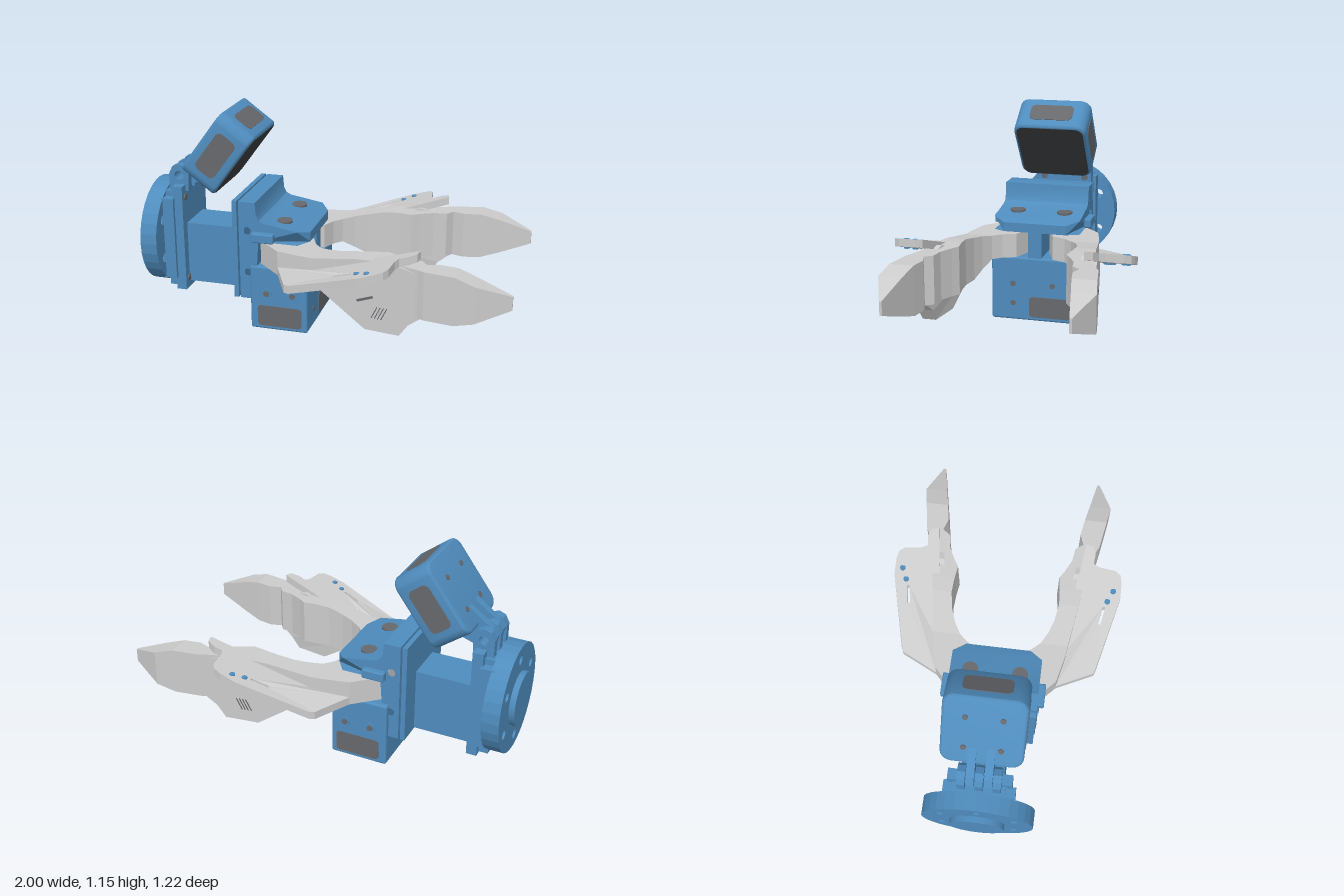
import * as THREE from 'three';
import { RoundedBoxGeometry } from 'three/addons/geometries/RoundedBoxGeometry.js';
import { toCreasedNormals } from 'three/addons/utils/BufferGeometryUtils.js';

const mat = (color, extra = {}) => new THREE.MeshStandardMaterial({ color, ...extra });
const blue = mat(0x4f8cbd), dark = mat(0x66686c), black = mat(0x3a3d40);
const grey = mat(0xcccccc, { flatShading: true });

function add(parent, name, geo, material) {
  const m = new THREE.Mesh(geo, material);
  m.name = name;
  parent.add(m);
  return m;
}

// Box given by its limits, optionally rounded
function box(parent, name, material, [x0, x1], [y0, y1], [z0, z1], r = 0) {
  const s = [x1 - x0, y1 - y0, z1 - z0];
  const geo = r ? new RoundedBoxGeometry(...s, 3, r) : new THREE.BoxGeometry(...s);
  geo.translate((x0 + x1) / 2, (y0 + y1) / 2, (z0 + z1) / 2);
  return add(parent, name, geo, material);
}

// Cylinder along a chosen axis
function rod(parent, name, material, r, len, axis, [x, y, z], sides = 32) {
  const geo = new THREE.CylinderGeometry(r, r, len, sides);
  if (axis === 'x') geo.rotateZ(Math.PI / 2);
  if (axis === 'z') geo.rotateX(Math.PI / 2);
  return add(parent, name, geo.translate(x, y, z), material);
}

const poly = pts => new THREE.Shape(pts.map(p => new THREE.Vector2(...p)));
const hole = (x, y, r) => new THREE.Path().absarc(x, y, r, 0, Math.PI * 2, true);

function extrude(shape, z0, z1, bevel = 0) {
  const geo = new THREE.ExtrudeGeometry(shape, {
    depth: z1 - z0 - 2 * bevel, bevelEnabled: bevel > 0, bevelSize: bevel, bevelOffset: -bevel,
    bevelThickness: bevel, bevelSegments: 3, curveSegments: 16,
  });
  return geo.translate(0, 0, z0 + bevel);
}

function roundedRect(w, h, r) {
  const s = new THREE.Shape(), a = w / 2 - r, b = h / 2 - r;
  s.absarc(a, b, r, 0, Math.PI / 2);
  s.absarc(-a, b, r, Math.PI / 2, Math.PI);
  s.absarc(-a, -b, r, Math.PI, Math.PI * 1.5);
  s.absarc(a, -b, r, Math.PI * 1.5, Math.PI * 2);
  return s;
}

// Move every vertex by a rule
function warp(geo, rule) {
  const p = geo.attributes.position, v = new THREE.Vector3();
  for (let i = 0; i < p.count; i++) {
    rule(v.fromBufferAttribute(p, i));
    p.setXYZ(i, v.x, v.y, v.z);
  }
  geo.computeVertexNormals();
  return geo;
}

// Solid skinned over rectangular sections [x, zInner, zOuter, yLow, yHigh]
function loft(sections) {
  const pos = [], idx = [];
  for (const [x, a, b, lo, hi] of sections) pos.push(x, lo, a, x, lo, b, x, hi, b, x, hi, a);
  for (let i = 0; i < sections.length - 1; i++) {
    for (let j = 0; j < 4; j++) {
      const p = i * 4 + j, q = i * 4 + (j + 1) % 4;
      idx.push(p, p + 4, q, q, p + 4, q + 4);
    }
  }
  const e = pos.length / 3 - 4;
  idx.push(0, 1, 2, 0, 2, 3, e, e + 2, e + 1, e, e + 3, e + 2);
  const geo = new THREE.BufferGeometry();
  geo.setAttribute('position', new THREE.Float32BufferAttribute(pos, 3));
  geo.setIndex(idx);
  geo.computeVertexNormals();
  return geo;
}

function makeFlange() {
  const g = new THREE.Group();
  g.name = 'wristFlange';
  const ring = new THREE.Shape().absarc(0, 0, 0.285, 0, Math.PI * 2);
  for (let i = 0; i < 6; i++) {
    const a = (i + 0.5) * Math.PI / 3;
    ring.holes.push(hole(0.215 * Math.cos(a), 0.215 * Math.sin(a), 0.026));
  }
  const disc = extrude(ring, -0.97, -0.88).rotateY(Math.PI / 2).translate(0, 0.435, 0);
  add(g, 'flangeDisc', disc, blue);
  rod(g, 'flangeHub', blue, 0.14, 0.06, 'x', [-0.97, 0.435, 0], 48);
  box(g, 'mountPlate', blue, [-0.83, -0.775], [0.14, 0.725], [-0.16, 0.16]);
  box(g, 'mountCore', blue, [-0.89, -0.82], [0.21, 0.66], [-0.18, 0.18]);
  for (const y of [0.18, 0.64]) box(g, 'mountClamp', blue, [-0.88, -0.82], [y - 0.03, y + 0.05], [-0.13, 0.13]);
  for (const y of [0.2, 0.66]) for (const z of [-0.12, 0.12]) rod(g, 'mountScrew', dark, 0.018, 0.01, 'x', [-0.773, y, z], 16);
  box(g, 'arm', blue, [-0.78, -0.46], [0.175, 0.51], [-0.11, 0.11]);
  return g;
}

function makeBracket() {
  const g = new THREE.Group();
  g.name = 'bracket';
  box(g, 'backPlate', blue, [-0.47, -0.445], [0.17, 0.705], [-0.235, 0.235]);
  box(g, 'plateCore', blue, [-0.45, -0.42], [0.2, 0.69], [-0.2, 0.2]);
  // Upright with a shelf that narrows at its front end
  const profile = poly([[-0.435, 0.705], [-0.345, 0.705], [-0.34, 0.64], [-0.325, 0.61], [-0.3, 0.597], [-0.12, 0.568],
    [-0.07, 0.55], [-0.07, 0.5], [-0.12, 0.495], [-0.33, 0.495], [-0.34, 0.36], [-0.37, 0.17], [-0.435, 0.17]]);
  profile.holes.push(hole(-0.39, 0.55, 0.02), hole(-0.39, 0.32, 0.02));
  const shelf = warp(extrude(profile, -0.235, 0.235), v => { if (v.x > -0.08) v.z *= 0.72; });
  add(g, 'shelf', toCreasedNormals(shelf, 0.5), blue);
  box(g, 'centreColumn', blue, [-0.33, -0.075], [0.35, 0.5], [-0.037, 0.037]);
  for (const z of [-0.13, 0.13]) {
    rod(g, 'pivot', dark, 0.042, 0.3, 'y', [-0.22, 0.44, z]);
    rod(g, 'pivotBoss', blue, 0.07, 0.02, 'y', [-0.22, 0.362, z]);
  }
  for (const z of [-0.25, 0.25]) box(g, 'sideClip', blue, [-0.36, -0.24], [0.5, 0.55], [z - 0.02, z + 0.02], 0.008);
  return g;
}

function makeLowerUnit() {
  const g = new THREE.Group();
  g.name = 'lowerSensorBox';
  box(g, 'lowerHousing', blue, [-0.38, -0.07], [0.004, 0.36], [-0.262, 0.24], 0.012);
  box(g, 'bottomWindow', black, [-0.355, -0.095], [0, 0.02], [-0.235, 0.215]);
  for (const [z, k] of [[0.24, 1], [-0.262, -1]]) {
    add(g, 'sideWindow', extrude(roundedRect(0.24, 0.115, 0.02), z - 0.003, z + 0.003).translate(-0.22, 0.083, 0), dark);
    for (const x of [-0.29, -0.148]) {
      rod(g, 'screwRing', blue, 0.028, 0.008, 'z', [x, 0.21, z], 24);
      rod(g, 'screw', dark, 0.016, 0.014, 'z', [x, 0.21, z + k * 0.001], 16);
    }
  }
  const win = extrude(roundedRect(0.23, 0.115, 0.02), -0.003, 0.003).rotateY(Math.PI / 2);
  add(g, 'frontWindow', win.translate(-0.07, 0.083, -0.085), dark);
  for (const [y, z] of [[0.21, 0.12], [0.21, -0.098], [0.1, 0.12]]) rod(g, 'screw', dark, 0.015, 0.008, 'x', [-0.07, y, z], 16);
  return g;
}

function makeCamera() {
  const g = new THREE.Group();
  g.name = 'camera';
  // Local +x is the viewing direction
  const body = new THREE.Group();
  body.name = 'cameraBody';
  const shell = extrude(roundedRect(0.405, 0.4, 0.06), -0.108, 0.108, 0.015).rotateY(Math.PI / 2);
  add(body, 'cameraShell', toCreasedNormals(shell, 0.6), blue);
  add(body, 'cameraGlass', extrude(roundedRect(0.375, 0.37, 0.045), 0.1, 0.11).rotateY(Math.PI / 2), black);
  const side = roundedRect(0.12, 0.24, 0.03);
  add(body, 'cameraSideWindows', extrude(side, -0.205, 0.205), dark);
  const top = extrude(roundedRect(0.11, 0.24, 0.03), 0, 0.01).rotateX(Math.PI / 2);
  add(body, 'cameraTopWindow', top.translate(0, 0.203, 0), dark);
  for (const y of [-0.1, 0.08]) for (const z of [-0.09, 0.09]) rod(body, 'backScrew', dark, 0.014, 0.01, 'x', [-0.108, y, z], 16);
  body.position.set(-0.563, 0.927, 0);
  body.rotation.z = -0.637;
  g.add(body);
  // Interleaved hinge fingers
  const lug = poly([[-0.85, 0.73], [-0.78, 0.71], [-0.66, 0.75], [-0.62, 0.9], [-0.67, 0.94], [-0.835, 0.82], [-0.862, 0.78]]);
  const base = poly([[-0.865, 0.69], [-0.76, 0.69], [-0.755, 0.78], [-0.775, 0.82], [-0.81, 0.835], [-0.845, 0.82], [-0.865, 0.78]]);
  for (const s of [lug, base]) s.holes.push(hole(-0.81, 0.772, 0.024));
  for (const z of [-0.045, 0.045]) add(g, 'cameraLug', extrude(lug, z - 0.02, z + 0.02), blue);
  for (const z of [-0.088, 0, 0.088]) add(g, 'hingeLug', extrude(base, z - 0.02, z + 0.02), blue);
  return g;
}

function makeJaw(name, sign) {
  const g = new THREE.Group();
  g.name = name;
  // Finger with a scalloped biting edge
  add(g, 'finger', loft([
    [-0.33, 0.05, 0.2, 0.36, 0.49], [-0.2, 0.05, 0.32, 0.36, 0.49], [-0.07, 0.1, 0.35, 0.36, 0.49],
    [-0.04, 0.17, 0.355, 0.36, 0.49], [0, 0.215, 0.36, 0.36, 0.49], [0.06, 0.25, 0.37, 0.32, 0.5],
    [0.13, 0.275, 0.38, 0.28, 0.51], [0.22, 0.29, 0.393, 0.28, 0.525], [0.3, 0.285, 0.405, 0.28, 0.53],
    [0.37, 0.275, 0.415, 0.28, 0.53], [0.41, 0.3, 0.42, 0.28, 0.53], [0.48, 0.335, 0.435, 0.28, 0.53],
    [0.55, 0.345, 0.46, 0.28, 0.53], [0.58, 0.385, 0.475, 0.28, 0.53], [0.64, 0.365, 0.485, 0.28, 0.53],
    [0.73, 0.38, 0.5, 0.28, 0.53], [0.83, 0.4, 0.517, 0.31, 0.5], [1, 0.432, 0.445, 0.37, 0.44],
  ]), grey);
  // Lower fin that follows the outer side of the finger
  const fin = extrude(poly([[0, 0.36], [0.28, 0.165], [0.46, 0.165], [0.505, 0.23], [0.57, 0.28], [0.57, 0.5], [0.4, 0.54], [0.05, 0.42]]), -0.07, 0.01);
  add(g, 'fin', warp(fin, v => { v.z += 0.362 + 0.155 * v.x + (v.y < 0.2 && v.z < 0 ? 0.01 : 0); }), grey);
  // Outer wing, rising toward the tip, with a slot
  const lift = x => 0.36 + Math.max(0, x + 0.08) * 0.325;
  const plan = poly([[-0.25, 0.2], [-0.08, 0.3], [0.4, 0.38], [0.55, 0.4], [0.54, 0.44], [0.5, 0.455], [0.455, 0.45], [0.44, 0.48],
    [0.43, 0.57], [0.41, 0.6], [0.37, 0.61], [0.29, 0.612], [-0.08, 0.525], [-0.105, 0.515], [-0.2, 0.32]]);
  plan.holes.push(new THREE.Path([[0.15, 0.508], [0.15, 0.522], [0.24, 0.538], [0.24, 0.524]].map(p => new THREE.Vector2(...p))));
  const wing = extrude(plan, -0.042, 0).rotateX(Math.PI / 2);
  add(g, 'wing', warp(wing, v => { v.y += lift(v.x); }), grey);
  for (const [x, z] of [[0, 0.405], [0.055, 0.43], [0.11, 0.458], [0.27, 0.545], [0.325, 0.57]]) {
    rod(g, 'wingPin', blue, 0.015, 0.05, 'y', [x, lift(x) + 0.021, z], 12);
  }
  // Slit and vent marks on the fin
  const slit = add(g, 'slit', new THREE.BoxGeometry(0.09, 0.012, 0.006), dark);
  slit.position.set(0.28, 0.33, 0.416);
  slit.rotation.set(0, -0.155, 0.38);
  for (let i = 0; i < 4; i++) {
    const vent = add(g, 'vent', new THREE.BoxGeometry(0.004, 0.07, 0.006), dark);
    vent.position.set(0.33 + i * 0.017, 0.265, 0.373 + 0.155 * (0.33 + i * 0.017));
    vent.rotation.set(0, -0.155, -0.45);
  }
  g.scale.z = sign;
  return g;
}

export function createModel() {
  const model = new THREE.Group();
  model.name = 'gripper';
  model.add(makeFlange(), makeBracket(), makeLowerUnit(), makeCamera(), makeJaw('leftJaw', 1), makeJaw('rightJaw', -1));
  return model;
}
